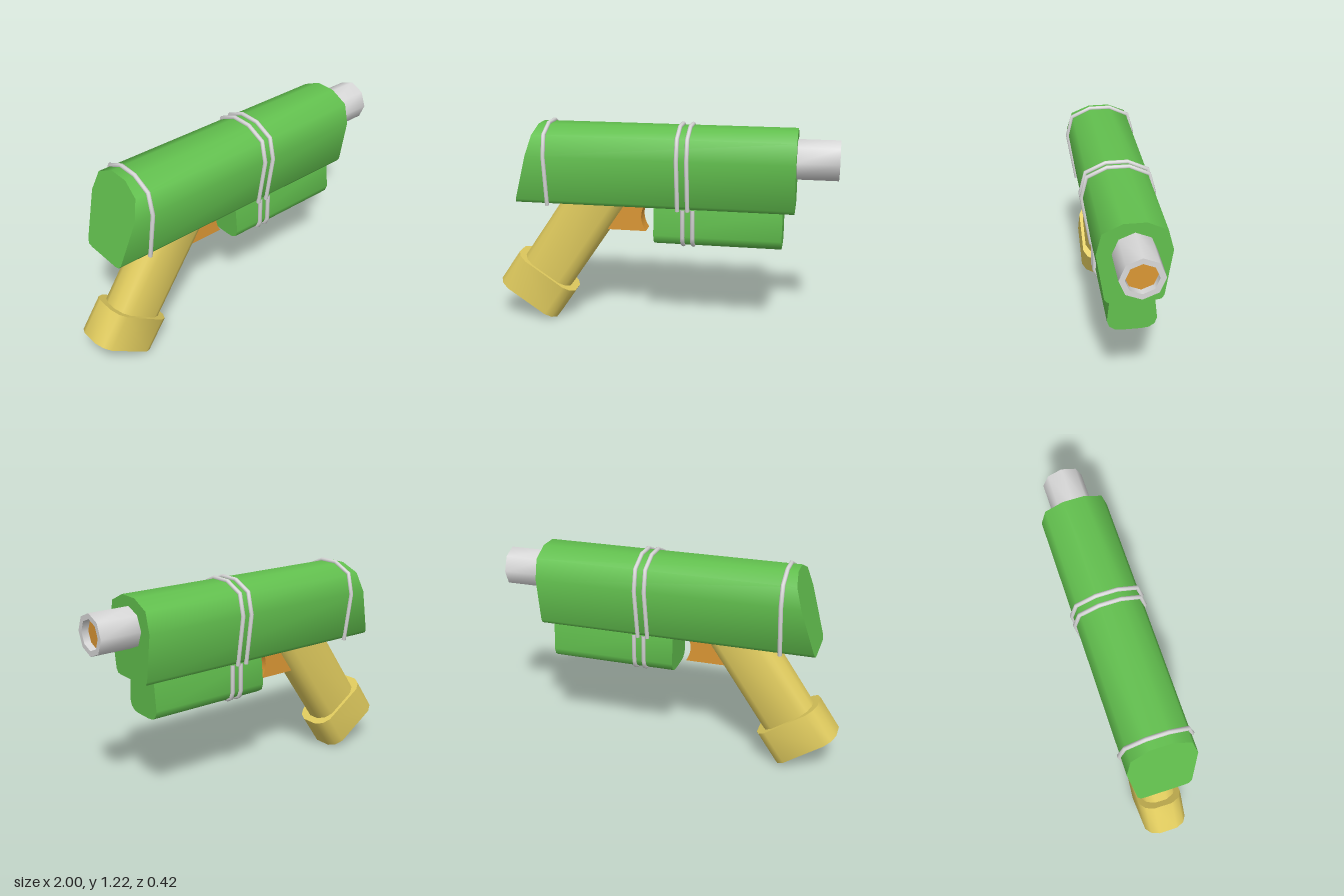
import * as THREE from 'three';
import { toCreasedNormals } from 'three/addons/utils/BufferGeometryUtils.js';

const mat = (name, color) => Object.assign(new THREE.MeshStandardMaterial({ color }), { name });

// Straight-segment path whose tube rings sit exactly on the corners
class Polyline extends THREE.Curve {
  constructor(points) { super(); this.points = points; }
  getPoint(t, target = new THREE.Vector3()) {
    const n = this.points.length - 1, i = Math.min(Math.floor(t * n + 1e-6), n - 1);
    return target.lerpVectors(this.points[i], this.points[i + 1], t * n - i);
  }
  getTangent(t, target = new THREE.Vector3()) {
    const p = this.points, n = p.length - 1, i = Math.round(t * n);
    target.set(0, 0, 0);
    if (i > 0) target.add(p[i].clone().sub(p[i - 1]).normalize());
    if (i < n) target.add(p[i + 1].clone().sub(p[i]).normalize());
    return target.normalize();
  }
  getPointAt(t, target) { return this.getPoint(t, target); }
  getTangentAt(t, target) { return this.getTangent(t, target); }
}

// Mirror a half profile, listed from one end of the centre line to the other
const mirrored = (half) => [...half, ...half.slice().reverse().map(([a, b]) => [-a, b])];
const shapeOf = (points) => new THREE.Shape(points.map(([a, b]) => new THREE.Vector2(a, b)));
const octagon = (r, cy) => Array.from({ length: 8 }, (_, i) => {
  const a = i * Math.PI / 4;
  return [r * Math.cos(a), cy + r * Math.sin(a)];
});
const extrude = (shape, depth) => new THREE.ExtrudeGeometry(shape, { depth, bevelEnabled: false, curveSegments: 8 });
const crease = (geometry) => toCreasedNormals(geometry, 1.1);

// Extrude a (z, y) section along x
const prismX = (shape, x0, x1) => extrude(shape, x1 - x0).rotateY(Math.PI / 2).translate(x0, 0, 0);

export function createModel() {
  const green = mat('green', 0x62c04e);
  const yellow = mat('yellow', 0xe0cb5e);
  const grey = mat('light grey', 0xd8d8d8);
  const orange = mat('orange', 0xda9634);
  const group = new THREE.Group();
  const add = (name, geometry, material) => {
    const mesh = new THREE.Mesh(geometry, material);
    mesh.name = name;
    group.add(mesh);
    return mesh;
  };

  // Main body with a slanted rear face
  const bodyHalf = [[0.11, 0.742], [0.14, 0.747], [0.155, 0.768], [0.195, 1.035], [0.165, 1.15], [0.06, 1.2]];
  const body = prismX(shapeOf(mirrored(bodyHalf)), -0.855, 0.765);
  const pos = body.attributes.position;
  for (let i = 0; i < pos.count; i++) {
    if (pos.getX(i) < 0) pos.setX(i, -0.855 + (pos.getY(i) - 0.742) * 0.295);
  }
  add('body', crease(body), green);

  // Lower housing under the front of the body
  const lowerHalf = [[0.05, 0.52], [0.09, 0.525], [0.12, 0.545], [0.133, 0.582], [0.115, 0.75]];
  add('lowerHousing', crease(prismX(shapeOf(mirrored(lowerHalf)), -0.035, 0.7)), green);

  // Octagonal barrel and its recessed plug
  const barrel = shapeOf(octagon(0.116, 1.032));
  barrel.holes.push(new THREE.Path(octagon(0.085, 1.032).map(([a, b]) => new THREE.Vector2(a, b))));
  add('barrel', crease(prismX(barrel, 0.75, 1)), grey);
  add('barrelPlug', crease(prismX(shapeOf(octagon(0.086, 1.032)), 0.755, 0.96)), orange);

  // Wire bands wrapped over the body and under the lower housing
  const band = (name, half, x) => {
    const points = mirrored(half).map(([z, y]) => new THREE.Vector3(x, y, z));
    add(name, new THREE.TubeGeometry(new Polyline(points), points.length - 1, 0.0125, 8, false), grey);
  };
  const upperBand = [[0.152, 0.738], [0.2, 1.035], [0.17, 1.155], [0.06, 1.205]];
  const lowerBand = [[0.139, 0.745], [0.139, 0.58], [0.125, 0.543], [0.09, 0.525], [0.05, 0.52]];
  [-0.66, 0.107, 0.165].forEach((x) => band('upperBand', upperBand, x));
  [0.135, 0.193].forEach((x) => band('lowerBand', lowerBand, x));

  // Tilted grip and its wider foot, extruded along the grip axis
  const grip = new THREE.Group();
  grip.name = 'gripAssembly';
  grip.position.set(-0.825, 0.117, 0);
  grip.rotation.z = -0.594;
  group.add(grip);
  const gripPart = (name, w, d, y0, y1) => {
    const half = [[w - 0.07, -d], [w - 0.025, -d + 0.025], [w, -d + 0.072]];
    const section = mirrored([...half, ...half.slice().reverse().map(([a, b]) => [a, -b])]);
    const geometry = extrude(shapeOf(section), y1 - y0).rotateX(-Math.PI / 2).translate(0, y0, 0);
    grip.add(add(name, crease(geometry), yellow));
  };
  gripPart('gripFoot', 0.206, 0.125, 0, 0.215);
  gripPart('grip', 0.164, 0.105, 0.2, 0.9);

  // Trigger with a concave front edge
  const trigger = new THREE.Shape();
  trigger.moveTo(-0.36, 0.58);
  trigger.lineTo(-0.095, 0.58);
  trigger.quadraticCurveTo(-0.15, 0.665, -0.095, 0.75);
  trigger.lineTo(-0.36, 0.75);
  add('trigger', crease(extrude(trigger, 0.1).translate(0, 0, -0.05)), orange);

  return group;
}
